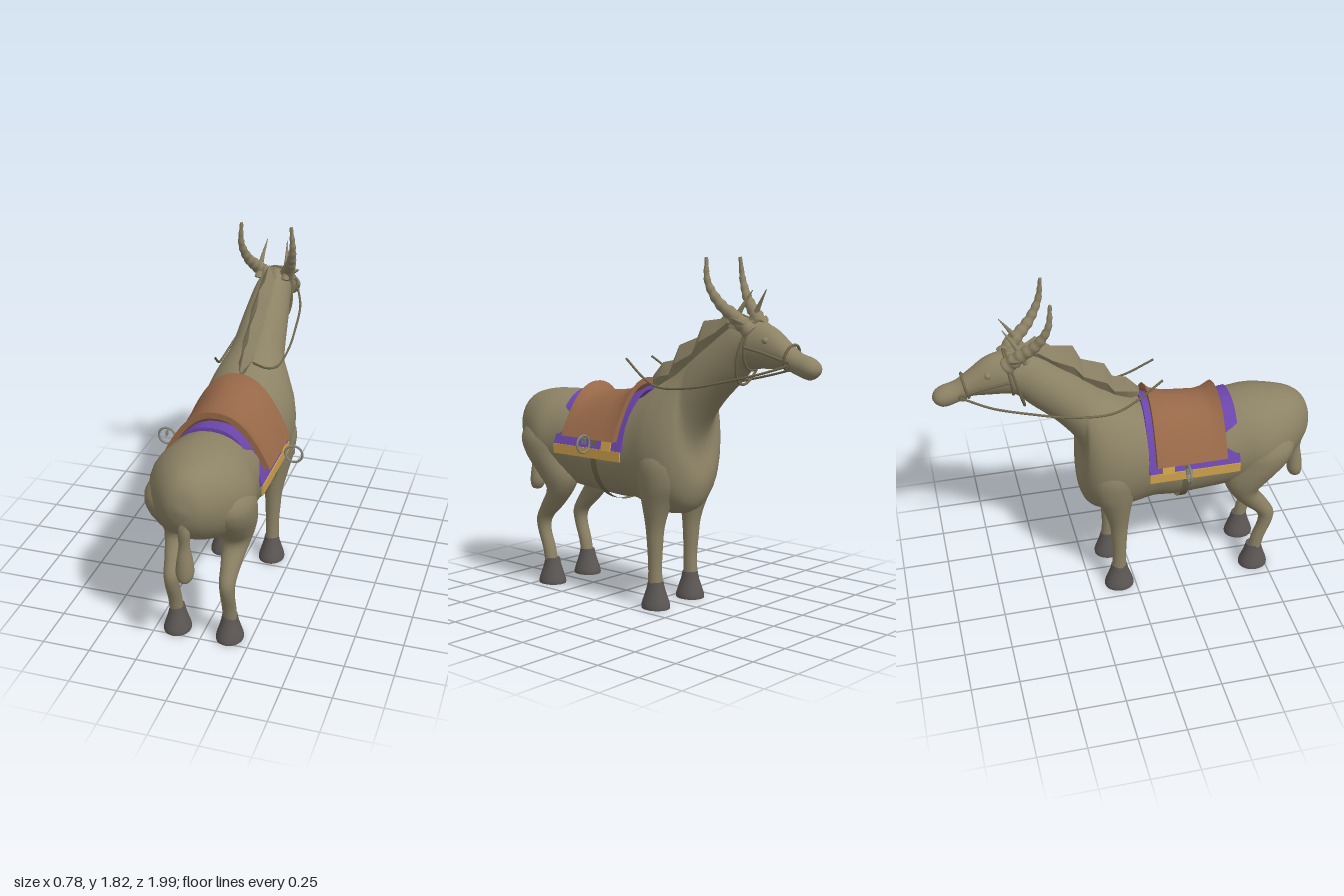
import * as THREE from 'three';
import { toCreasedNormals } from 'three/addons/utils/BufferGeometryUtils.js';

const material = (name, color) => {
  const m = new THREE.MeshStandardMaterial({ color });
  m.name = name;
  return m;
};
const V = (x, y, z) => new THREE.Vector3(x, y, z);

// Closed skin over rings that run counter-clockwise around the direction of travel.
function skin(rings, crease = 0.9) {
  const n = rings[0].length, last = (rings.length - 1) * n, idx = [];
  for (let i = 0; i < rings.length - 1; i++) {
    for (let j = 0; j < n; j++) {
      const a = i * n + j, b = i * n + (j + 1) % n;
      idx.push(a, b, b + n, a, b + n, a + n);
    }
  }
  for (let j = 0; j < n / 2 - 1; j++) {
    const k = n - 1 - j;
    idx.push(k - 1, j + 1, j, k, k - 1, j);
    idx.push(last + j, last + j + 1, last + k - 1, last + j, last + k - 1, last + k);
  }
  const g = new THREE.BufferGeometry().setFromPoints(rings.flat());
  g.setIndex(idx);
  return toCreasedNormals(g, crease);
}

// Elliptical ring between two points of the side outline.
function ellipse(p, q, w, segs) {
  return Array.from({ length: segs }, (_, j) => {
    const a = (j / segs) * Math.PI * 2;
    const v = p.clone().lerp(q, (1 - Math.cos(a)) / 2);
    v.x += Math.sin(a) * w;
    return v;
  });
}

// Smooth loft; each section is [z1, y1, z2, y2, halfWidth].
function loft(sections, cx = 0, segs = 28, sub = 4) {
  const curve = f => new THREE.CatmullRomCurve3(sections.map(f), false, 'catmullrom', 0.5);
  const top = curve(s => V(s[5] ?? cx, s[1], s[0]));
  const bottom = curve(s => V(s[5] ?? cx, s[3], s[2]));
  const width = curve(s => V(s[4], 0, 0));
  const count = (sections.length - 1) * sub, rings = [];
  for (let i = 0; i <= count; i++) {
    const t = i / count;
    rings.push(ellipse(top.getPoint(t), bottom.getPoint(t), width.getPoint(t).x, segs));
  }
  return skin(rings, sub > 1 ? 0.9 : 0.3);
}

// Tapered tube along a curve.
function taper(points, radius, steps, segs = 12, flat = 1) {
  const c = new THREE.CatmullRomCurve3(points), f = c.computeFrenetFrames(steps), rings = [];
  for (let i = 0; i <= steps; i++) {
    const t = i / steps, r = radius(t), o = c.getPointAt(t);
    rings.push(Array.from({ length: segs }, (_, j) => {
      const a = (j / segs) * Math.PI * 2;
      return o.clone().addScaledVector(f.normals[i], r * Math.cos(a))
        .addScaledVector(f.binormals[i], r * flat * Math.sin(a));
    }));
  }
  return skin(rings);
}

// Padded sheet draped over the back; each station is [z, topHeight].
function drape(stations, bottom, hw, power, thick) {
  const n = 24;
  const arc = (z, top, w) => Array.from({ length: n + 1 }, (_, j) => {
    const s = 1 - (2 * j) / n;
    return V(w * s, bottom + (top - bottom) * (1 - Math.abs(s) ** power), z);
  });
  return skin(stations.map(([z, top]) =>
    [...arc(z, top, hw), ...arc(z, top - thick, hw - thick).reverse()]), 0.7);
}

const tube = (pts, r, closed = false) =>
  new THREE.TubeGeometry(new THREE.CatmullRomCurve3(pts, closed), 40, r, 8, closed);

export function createModel() {
  const group = new THREE.Group();
  const hide = material('olive hide', 0x8c8265);
  const strap = material('strap olive', 0x6f674d);
  const leather = material('saddle brown', 0x976848);
  const purple = material('blanket purple', 0x6c46ab);
  const gold = material('blanket gold', 0xcda14c);
  const horn = material('hoof grey', 0x5c5755);
  const steel = material('stirrup grey', 0x85857f);
  strap.side = THREE.DoubleSide;
  const add = (name, geometry, mat) => {
    const m = new THREE.Mesh(geometry, mat);
    m.name = name;
    group.add(m);
    return m;
  };

  // Rump, barrel, chest, neck and head in one smooth skin
  add('body', loft([
    [0.985, 0.9, 0.985, 0.87, 0.02], [0.96, 0.99, 0.96, 0.78, 0.09], [0.9, 1.05, 0.9, 0.7, 0.155],
    [0.8, 1.078, 0.8, 0.63, 0.22], [0.68, 1.09, 0.68, 0.58, 0.265], [0.55, 1.085, 0.55, 0.56, 0.25],
    [0.4, 1.055, 0.4, 0.548, 0.245], [0.22, 1.055, 0.22, 0.538, 0.25], [0.1, 1.085, 0.1, 0.54, 0.243],
    [0.01, 1.14, 0, 0.51, 0.245], [-0.07, 1.185, -0.13, 0.488, 0.255], [-0.15, 1.23, -0.24, 0.53, 0.235],
    [-0.21, 1.28, -0.285, 0.66, 0.19], [-0.26, 1.32, -0.255, 0.82, 0.155], [-0.3, 1.35, -0.285, 0.94, 0.142],
    [-0.37, 1.4, -0.39, 1.08, 0.128], [-0.45, 1.46, -0.52, 1.2, 0.112], [-0.53, 1.505, -0.585, 1.265, 0.1],
    [-0.62, 1.513, -0.64, 1.28, 0.09], [-0.72, 1.49, -0.73, 1.285, 0.076], [-0.81, 1.425, -0.81, 1.288, 0.062],
    [-0.88, 1.375, -0.87, 1.265, 0.055], [-0.95, 1.353, -0.94, 1.245, 0.055], [-0.985, 1.33, -0.98, 1.26, 0.04],
    [-1, 1.305, -1, 1.285, 0.012],
  ]), hide);

  add('tail', loft([
    [0.92, 0.82, 0.97, 0.82, 0.02], [0.92, 0.76, 0.975, 0.76, 0.03], [0.925, 0.68, 0.965, 0.68, 0.028],
    [0.905, 0.6, 0.978, 0.6, 0.04], [0.902, 0.53, 0.985, 0.53, 0.045], [0.92, 0.49, 0.98, 0.49, 0.03],
    [0.94, 0.48, 0.96, 0.48, 0.008],
  ], 0, 16), hide);

  // Jagged crest along the neck
  add('mane', loft([
    [0.05, 1.2, 0.05, 1.15, 0.004], [-0.02, 1.275, -0.02, 1.13, 0.03], [-0.09, 1.29, -0.08, 1.14, 0.036],
    [-0.13, 1.37, -0.12, 1.18, 0.04], [-0.25, 1.415, -0.24, 1.25, 0.042], [-0.29, 1.5, -0.29, 1.29, 0.042],
    [-0.4, 1.515, -0.39, 1.38, 0.04], [-0.475, 1.58, -0.46, 1.42, 0.036], [-0.52, 1.55, -0.51, 1.44, 0.03],
    [-0.62, 1.52, -0.61, 1.47, 0.004],
  ], 0, 4, 1), hide);

  for (const s of [1, -1]) {
    const side = s > 0 ? 'left' : 'right';
    add(side + 'HindLeg', loft([
      [0.62, 0.97, 0.78, 0.97, 0.04, 0.13 * s], [0.55, 0.85, 0.86, 0.85, 0.115, 0.15 * s],
      [0.52, 0.75, 0.84, 0.75, 0.125, 0.15 * s], [0.49, 0.64, 0.75, 0.64, 0.105, 0.15 * s],
      [0.52, 0.55, 0.68, 0.55, 0.075, 0.152 * s], [0.6, 0.45, 0.74, 0.45, 0.053, 0.147 * s],
      [0.685, 0.37, 0.783, 0.37, 0.042, 0.145 * s], [0.7, 0.3, 0.778, 0.3, 0.037, 0.145 * s],
      [0.67, 0.2, 0.742, 0.2, 0.036, 0.143 * s], [0.655, 0.12, 0.725, 0.12, 0.036, 0.143 * s],
    ], 0, 20), hide);
    add(side + 'FrontLeg', loft([
      [-0.19, 0.95, -0.05, 0.95, 0.05, 0.13 * s], [-0.24, 0.8, 0, 0.8, 0.105, 0.15 * s],
      [-0.235, 0.67, -0.005, 0.67, 0.1, 0.15 * s], [-0.185, 0.56, -0.025, 0.56, 0.075, 0.15 * s],
      [-0.145, 0.44, -0.04, 0.44, 0.05, 0.147 * s], [-0.132, 0.33, -0.048, 0.33, 0.041, 0.145 * s],
      [-0.125, 0.22, -0.052, 0.22, 0.036, 0.143 * s], [-0.13, 0.12, -0.05, 0.12, 0.036, 0.143 * s],
    ], 0, 20), hide);

    // Flared hooves
    for (const [name, z] of [['FrontHoof', -0.09], ['HindHoof', 0.685]]) {
      add(side + name, loft([[0.142, 0.043], [0.1, 0.052], [0.04, 0.073], [0.015, 0.08], [0, 0.08]]
        .map(([y, r]) => [z - r, y, z + r, y, r * 0.88]), 0.14 * s, 24, 2), horn);
    }

    // Ridged horns, upright spikes and small sideways ears
    add(side + 'Horn', taper([V(0.055 * s, 1.46, -0.63), V(0.085 * s, 1.53, -0.56), V(0.118 * s, 1.6, -0.485),
      V(0.14 * s, 1.7, -0.43), V(0.135 * s, 1.82, -0.415)],
    t => (0.034 * (1 - t) + 0.008) * (1 + 0.09 * Math.sin(t * 60)), 48), hide);
    add(side + 'Spike', taper([V(0.075 * s, 1.48, -0.53), V(0.068 * s, 1.58, -0.585), V(0.055 * s, 1.665, -0.64)],
      t => 0.019 * (1 - t) + 0.002, 10), hide);
    add(side + 'Ear', taper([V(0.05 * s, 1.47, -0.6), V(0.1 * s, 1.505, -0.595), V(0.14 * s, 1.53, -0.575)],
      t => 0.004 + 0.024 * Math.sin(Math.PI * (0.3 + 0.7 * t)), 10, 10, 0.5), hide);

    const eye = add(side + 'Eye', new THREE.SphereGeometry(0.017, 16, 12), hide);
    eye.position.set(0.066 * s, 1.425, -0.725);

    // Reins, cheek strap and bit
    add(side + 'Rein', tube([V(0.066 * s, 1.31, -0.855), V(0.115 * s, 1.265, -0.72), V(0.142 * s, 1.215, -0.52),
      V(0.156 * s, 1.175, -0.33), V(0.153 * s, 1.163, -0.12), V(0.13 * s, 1.2, 0), V(0.1 * s, 1.29, 0.15)], 0.006), strap);
    add(side + 'CheekStrap', tube([V(0.097 * s, 1.39, -0.62), V(0.083 * s, 1.365, -0.73),
      V(0.067 * s, 1.335, -0.83)], 0.007), strap);
    const bit = add(side + 'BitRing', new THREE.TorusGeometry(0.016, 0.005, 8, 20), strap);
    bit.position.set(0.064 * s, 1.315, -0.855);
    bit.rotation.y = Math.PI / 2;

    // Stirrup with its small hanging pin
    const ring = add(side + 'Stirrup', new THREE.TorusGeometry(0.045, 0.006, 8, 32), steel);
    ring.position.set(0.34 * s, 0.855, 0.235);
    const pin = add(side + 'StirrupPin', new THREE.BoxGeometry(0.006, 0.032, 0.03), steel);
    pin.position.set(0.34 * s, 0.872, 0.235);

    // Gold hem and corner patch
    const hem = add(side + 'BlanketHem', new THREE.BoxGeometry(0.009, 0.052, 0.485), gold);
    hem.position.set(0.263 * s, 0.796, 0.2925);
    const patch = add(side + 'BlanketPatch', new THREE.BoxGeometry(0.008, 0.055, 0.065), gold);
    patch.position.set(0.262 * s, 0.846, 0.1475);
    patch.rotation.z = 0.2 * s;
  }

  // Bridle bands round the head
  for (const [name, z1, y1, z2, y2, w] of [
    ['browBand', -0.635, 1.515, -0.6, 1.27, 0.094], ['throatStrap', -0.625, 1.51, -0.545, 1.195, 0.1],
    ['noseBand', -0.85, 1.408, -0.82, 1.283, 0.063]]) {
    add(name, tube(ellipse(V(0, y1, z1), V(0, y2, z2), w, 16), 0.007, true), strap);
  }

  // Girth round the barrel
  const girth = add('girth', new THREE.CylinderGeometry(1, 1, 0.04, 48, 1, true).rotateX(Math.PI / 2), strap);
  girth.scale.set(0.26, 0.273, 1);
  girth.position.set(0, 0.793, 0.245);

  add('blanket', drape([[0.05, 1.15], [0.1, 1.125], [0.18, 1.095], [0.4, 1.08], [0.48, 1.09], [0.535, 1.1]],
    0.815, 0.265, 2.6, 0.02), purple);
  add('saddle', drape([[0.085, 1.19], [0.12, 1.15], [0.2, 1.12], [0.3, 1.108], [0.38, 1.1], [0.42, 1.112],
    [0.46, 1.145]], 0.872, 0.28, 2.25, 0.032), leather);

  return group;
}
